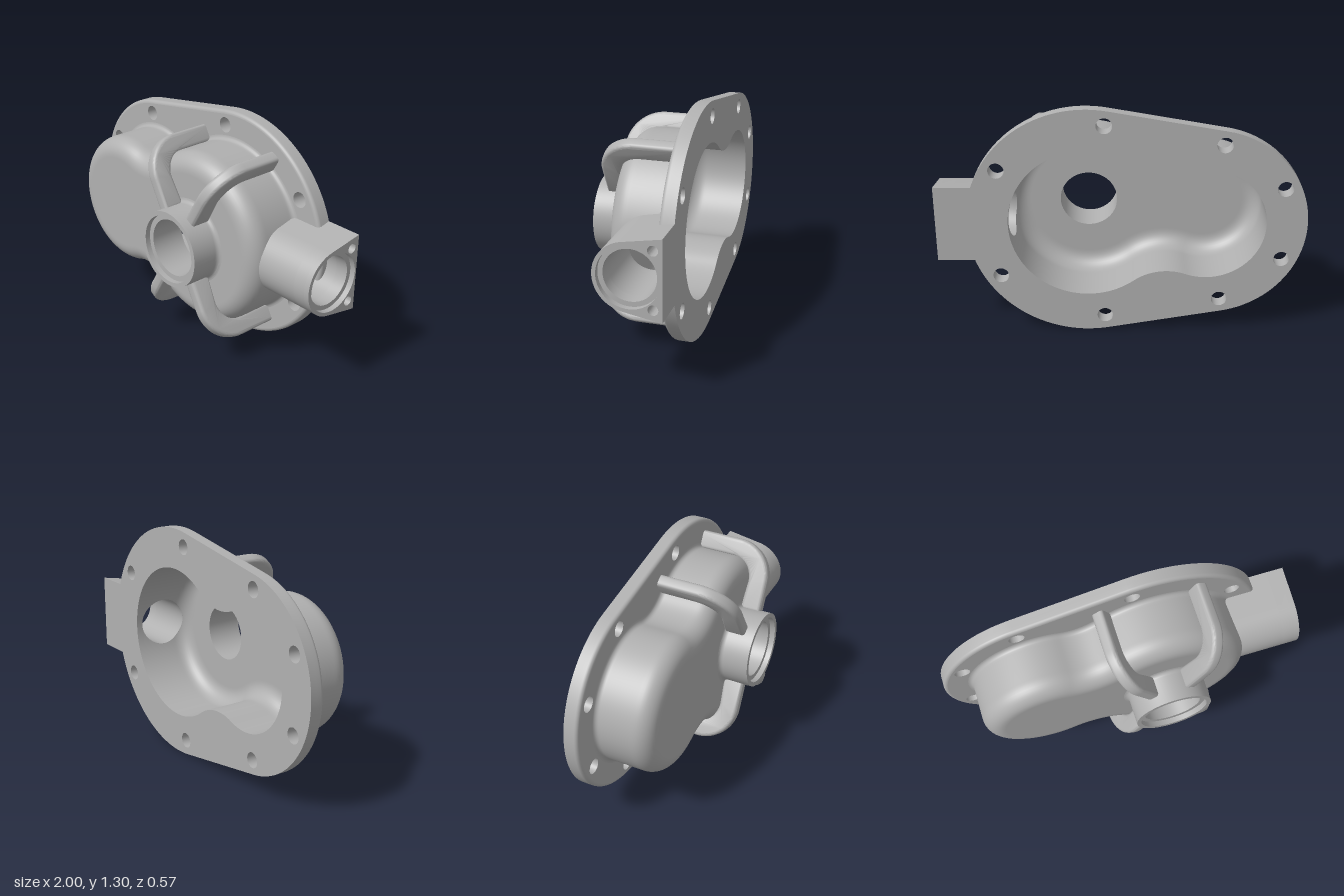
import * as THREE from 'three';
import { toCreasedNormals } from 'three/addons/utils/BufferGeometryUtils.js';

const CX = 0.185, SX = -0.46, CY = 0.65;            // large and small lobe centres
const BACK = -0.285, FACE = -0.205;                 // flange back and front
const FLOOR = 0.055, TOP = 0.115;                   // cavity floor, cover front
const WALL = 0.06, R_OUT = 0.1, R_IN = 0.09;        // wall thickness, corner rounding
const PORT_Z = -0.114, BORE = 0.136;

const metal = new THREE.MeshStandardMaterial({ color: 0xb0b0b0 });
metal.name = 'castGrey';

// points along arcs [cx, cy, radius, start, end, segments]
function arcs(list, includeEnd) {
  const pts = [];
  for (const [cx, cy, r, a0, a1, n] of list) {
    for (let j = 0; j < n + (includeEnd ? 1 : 0); j++) {
      const a = a0 + (a1 - a0) * j / n;
      pts.push(new THREE.Vector2(cx + r * Math.cos(a), cy + r * Math.sin(a)));
    }
  }
  return pts;
}

const circle = (x, y, r, n = 32) => () => arcs([[x, y, r, 0, Math.PI * 2, n]], false);

// egg-shaped flange outline: two arcs joined by tangent lines
function flangeOutline(inset) {
  const t = Math.acos(-0.11 / (CX - SX));
  return arcs([
    [CX, CY, 0.65 - inset, -t, t, 64],
    [SX, CY, 0.54 - inset, t, Math.PI * 2 - t, 48],
  ], true);
}

// two-lobed cover outline with concave waists
function coverOutline(inset) {
  const R = 0.485, r = 0.38, f = 0.245, d = CX - SX;
  const along = ((r + f) ** 2 - (R + f) ** 2 + d * d) / (2 * d);
  const h = Math.sqrt((r + f) ** 2 - along ** 2);
  const a = Math.atan2(h, along - d), b = Math.atan2(h, along), P = Math.PI;
  return arcs([
    [CX, CY, R - inset, -a, a, 120],
    [SX + along, CY + h, f + inset, a - P, b - P, 16],
    [SX, CY, r - inset, b, 2 * P - b, 64],
    [SX + along, CY - h, f + inset, P - b, P - a, 16],
  ], false);
}

// skin through rings given as [inset, z]; rising z faces outwards
function loft(outline, profile) {
  const pos = [], idx = [];
  let n = 0;
  profile.forEach(([inset, z], k) => {
    const ring = outline(inset);
    n = ring.length;
    ring.forEach((p, i) => {
      pos.push(p.x, p.y, z);
      if (k === 0) return;
      const i2 = (i + 1) % n, a = (k - 1) * n, b = k * n;
      idx.push(a + i, a + i2, b + i2, a + i, b + i2, b + i);
    });
  });
  const g = new THREE.BufferGeometry();
  g.setAttribute('position', new THREE.Float32BufferAttribute(pos, 3));
  g.setIndex(idx);
  g.computeVertexNormals();
  return g;
}

// flat plate with holes
function plate(outer, holes, z, faceBack) {
  const s = new THREE.Shape(outer);
  holes.forEach((h) => s.holes.push(new THREE.Path(h)));
  const g = new THREE.ShapeGeometry(s);
  g.translate(0, 0, z);
  if (faceBack) {
    g.setIndex(Array.from(g.index.array).reverse());
    g.computeVertexNormals();
  }
  return g;
}

// wall profile: straight side, then a quarter round onto the flat
function wallProfile(z0, zTop, r, inset) {
  const p = [];
  for (let i = 0; i < 16; i++) p.push([inset, z0 + (zTop - r - z0) * i / 16]);
  for (let i = 0; i <= 10; i++) {
    const a = Math.PI / 2 * i / 10;
    p.push([inset + r * (1 - Math.cos(a)), zTop - r + r * Math.sin(a)]);
  }
  p.push([inset + r + 0.01, zTop]);
  return p;
}

// x of the wall on the port side, for a given y and z
function wallX(y, z, inset, zTop, r) {
  const over = Math.min(Math.max(z - (zTop - r), 0), r);
  const rad = 0.485 - inset - (r - Math.sqrt(r * r - over * over));
  return CX + Math.sqrt(rad * rad - (y - CY) ** 2);
}

// open the port bore through a wall skin and fit its edge to the circle
function cutBore(g, radius, inset, zTop, r) {
  const p = g.attributes.position, old = g.index.array, keep = [];
  const inside = (i) => p.getX(i) > CX + 0.2 &&
    Math.hypot(p.getY(i) - CY, p.getZ(i) - PORT_Z) <= radius;
  const hit = Array.from({ length: p.count }, (_, i) => inside(i));
  for (let i = 0; i < old.length; i += 3) {
    const t = [old[i], old[i + 1], old[i + 2]];
    if (!t.every((v) => hit[v])) keep.push(...t);
  }
  hit.forEach((h, i) => {
    if (!h) return;
    const a = Math.atan2(p.getZ(i) - PORT_Z, p.getY(i) - CY);
    const y = CY + radius * Math.cos(a), z = PORT_Z + radius * Math.sin(a);
    p.setXYZ(i, wallX(y, z, inset, zTop, r), y, z);
  });
  g.setIndex(keep);
  return g;
}

export function createModel() {
  const model = new THREE.Group();
  model.name = 'gearHousingCover';
  const add = (name, geometry, parent = model) => {
    const m = new THREE.Mesh(geometry, metal);
    m.name = name;
    parent.add(m);
    return m;
  };

  // flange with rounded front edge and eight bolt holes
  const flange = new THREE.Group();
  flange.name = 'flange';
  model.add(flange);
  const bolts = [];
  for (const [x, dy] of [[0.66, 0.31], [0.09, 0.56], [-0.54, 0.455], [-0.87, 0.207]]) {
    for (const s of [1, -1]) bolts.push(circle(x, CY + s * dy, 0.043));
  }
  const rim = [[0, BACK], [0, -0.25]];
  for (let i = 0; i <= 5; i++) {
    const a = Math.PI / 2 * i / 5;
    rim.push([0.02 * (1 - Math.cos(a)), FACE - 0.02 + 0.02 * Math.sin(a)]);
  }
  const boltRings = bolts.map((b) => b());
  add('flangeEdge', loft(flangeOutline, rim), flange);
  add('flangeFront', plate(flangeOutline(0.02), [...boltRings, coverOutline(-0.025)], FACE), flange);
  add('flangeBack', plate(flangeOutline(0), [...boltRings, coverOutline(WALL)], BACK, true), flange);
  bolts.forEach((b) => add('boltHole', loft(b, [[0, FACE], [0, BACK]]), flange));

  // domed cover, with a small fillet at its foot
  const foot = [];
  for (let i = 0; i < 5; i++) {
    const a = Math.PI / 2 * i / 5;
    foot.push([-0.025 * (1 - Math.sin(a)), FACE + 0.025 * (1 - Math.cos(a))]);
  }
  const outer = [...foot, ...wallProfile(FACE + 0.025, TOP, R_OUT, 0)];
  add('coverWall', cutBore(loft(coverOutline, outer), 0.15, 0, TOP, R_OUT));
  add('coverFront', plate(coverOutline(R_OUT + 0.01), [circle(CX, CY, 0.16, 64)()], TOP));

  // hollow inside
  const inner = wallProfile(BACK, FLOOR, R_IN, WALL).reverse();
  add('cavityWall', cutBore(loft(coverOutline, inner), BORE, WALL, FLOOR, R_IN));
  add('cavityFloor', plate(coverOutline(WALL + R_IN + 0.01), [circle(CX, CY, 0.16, 64)()], FLOOR, true));

  // shaft boss with stepped bore
  const bossProfile = [];
  for (let i = 0; i <= 5; i++) {
    const a = Math.PI / 2 * i / 5;
    bossProfile.push([0.24 - 0.025 * Math.sin(a), TOP + 0.025 * (1 - Math.cos(a))]);
  }
  bossProfile.push([0.215, 0.285], [0.19, 0.285], [0.19, 0.255], [0.16, 0.255], [0.16, FLOOR]);
  const boss = new THREE.LatheGeometry(bossProfile.map(([r, y]) => new THREE.Vector2(r, y)), 64);
  boss.rotateX(Math.PI / 2).translate(CX, CY, 0);
  add('shaftBoss', toCreasedNormals(boss, 0.6));

  // four bent ribs from the boss down to the flange
  const rib = new THREE.Shape();
  rib.moveTo(0.2, 0.23);
  rib.lineTo(0.37, 0.23);
  rib.absarc(0.372, 0.02, 0.21, Math.PI / 2, 0, true);
  rib.lineTo(0.582, -0.23);
  rib.lineTo(0.48, -0.23);
  rib.lineTo(0.48, 0);
  rib.absarc(0.36, 0, 0.12, 0, Math.PI / 2, false);
  rib.lineTo(0.2, 0.11);
  const ribGeo = new THREE.ExtrudeGeometry(rib, {
    depth: 0.03, bevelSize: 0.02, bevelThickness: 0.02, bevelOffset: -0.02, bevelSegments: 4, curveSegments: 14,
  });
  ribGeo.translate(0, 0, -0.015).rotateX(Math.PI / 2);
  const ribSmooth = toCreasedNormals(ribGeo, 0.7);
  for (const deg of [60, 120, 240, 300]) {
    const m = add('rib', ribSmooth);
    m.rotation.z = deg * Math.PI / 180;
    m.position.set(CX, CY, 0);
  }

  // side port: round front, flat back, stepped bore and two screw holes
  const port = new THREE.Group();
  port.name = 'sidePort';
  model.add(port);
  const cu = -PORT_Z, lean = Math.PI / 2 + 0.16;
  const portSlice = (x0, x1, bore, screws) => {
    const s = new THREE.Shape([
      new THREE.Vector2(-BACK, 0.435), new THREE.Vector2(-BACK, 0.865),
      ...arcs([[cu, CY, 0.182, lean, Math.PI * 2 - lean, 40]], true),
    ]);
    s.holes.push(new THREE.Path(circle(cu, CY, bore, 64)()));
    if (screws) for (const k of [1, -1]) s.holes.push(new THREE.Path(circle(0.238, CY + k * 0.152, 0.027, 24)()));
    const g = new THREE.ExtrudeGeometry(s, { depth: x1 - x0, bevelEnabled: false });
    g.rotateY(Math.PI / 2).translate(x0, 0, 0);
    add('portBody', toCreasedNormals(g, 0.5), port);
  };
  portSlice(0.615, 0.9, BORE, false);
  portSlice(0.9, 0.97, BORE, true);
  portSlice(0.97, 1, 0.162, true);

  // bore sleeve meeting the curved cavity wall
  const sleeve = loft(circle(cu, CY, BORE, 64), [[0, 0.63], [0, 0]]).rotateY(Math.PI / 2);
  const sp = sleeve.attributes.position;
  for (let i = 0; i < sp.count; i++) {
    if (sp.getX(i) < 0.3) sp.setX(i, wallX(sp.getY(i), sp.getZ(i), WALL, FLOOR, R_IN));
  }
  add('portSleeve', sleeve, port);

  return model;
}
